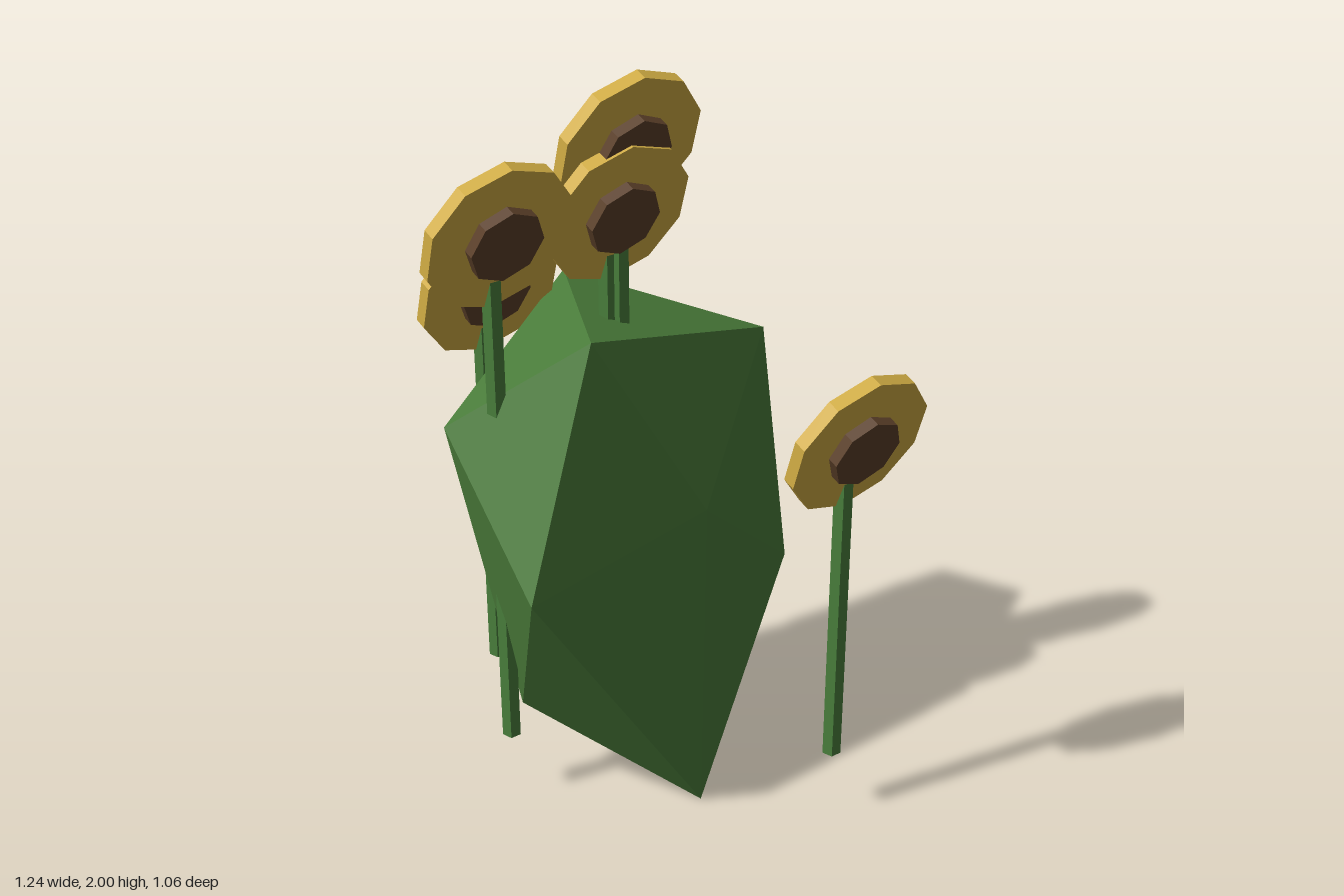
import * as THREE from 'three';

export function createModel() {
  const model = new THREE.Group();
  const mat = (name, color) => {
    const m = new THREE.MeshStandardMaterial({ color, flatShading: true });
    m.name = name;
    return m;
  };
  const leafGreen = mat('leaf green', 0x4a7c3a);
  const stemGreen = mat('stem green', 0x4a803d);
  const gold = mat('petal gold', 0xd4af45);
  const brown = mat('seed brown', 0x5c4029);

  const add = (parent, name, geometry, material) => {
    const mesh = new THREE.Mesh(geometry, material);
    mesh.name = name;
    parent.add(mesh);
    return mesh;
  };

  // Bush: an irregular twenty-sided lump
  const corners = {
    A: [-0.035, 0, 0.17], B: [0.335, 0.07, -0.31], C: [-0.38, 0.27, -0.17],
    D: [-0.53, 0.8, 0.138], E: [-0.52, 1.12, -0.26], F: [-0.265, 1.395, 0.025],
    G: [0.46, 1.13, -0.222], H: [0.615, 0.8, -0.413], I: [0.49, 0.435, -0.138],
    J: [0.03, 0.86, 0.1], K: [0.01, 1.315, -0.513], L: [-0.11, 0.68, -0.445],
  };
  const faces = 'JFD JDA JAI JIG JGF ADC CDE DFE FKE FGK GHK GIH IBH IAB ACB LBC LHB LKH LEK LCE';
  const points = [...faces.replaceAll(' ', '')].flatMap((key) => corners[key]);
  const bushGeometry = new THREE.BufferGeometry();
  bushGeometry.setAttribute('position', new THREE.Float32BufferAttribute(points, 3));
  bushGeometry.computeVertexNormals();
  add(model, 'bush', bushGeometry, leafGreen);

  // Flowers: upright stem, nodding disc of petals and a raised seed head
  const stemBase = 0.2;
  const petalGeometry = new THREE.CylinderGeometry(0.203, 0.203, 0.036, 10);
  const seedGeometry = new THREE.CylinderGeometry(0.1, 0.1, 0.05, 8);
  const flowers = [
    [-0.427, 1.665, -0.115],
    [-0.053, 1.805, -0.12],
    [-0.078, 1.635, -0.135],
    [-0.258, 1.362, -0.455],
    [0.215, 1.158, 0.452],
  ];
  for (const [x, y, z] of flowers) {
    const flower = new THREE.Group();
    flower.name = 'flower';
    model.add(flower);

    const height = y - stemBase;
    const stem = add(flower, 'stem', new THREE.CylinderGeometry(0.025, 0.025, height, 5), stemGreen);
    stem.position.set(x, stemBase + height / 2, z - 0.04);
    stem.rotation.y = Math.PI;

    const head = new THREE.Group();
    head.name = 'flowerHead';
    head.position.set(x, y, z);
    head.rotation.x = Math.PI / 2 + 0.3;
    flower.add(head);
    add(head, 'petals', petalGeometry, gold);
    add(head, 'seedHead', seedGeometry, brown).position.y = 0.022;
  }
  return model;
}
